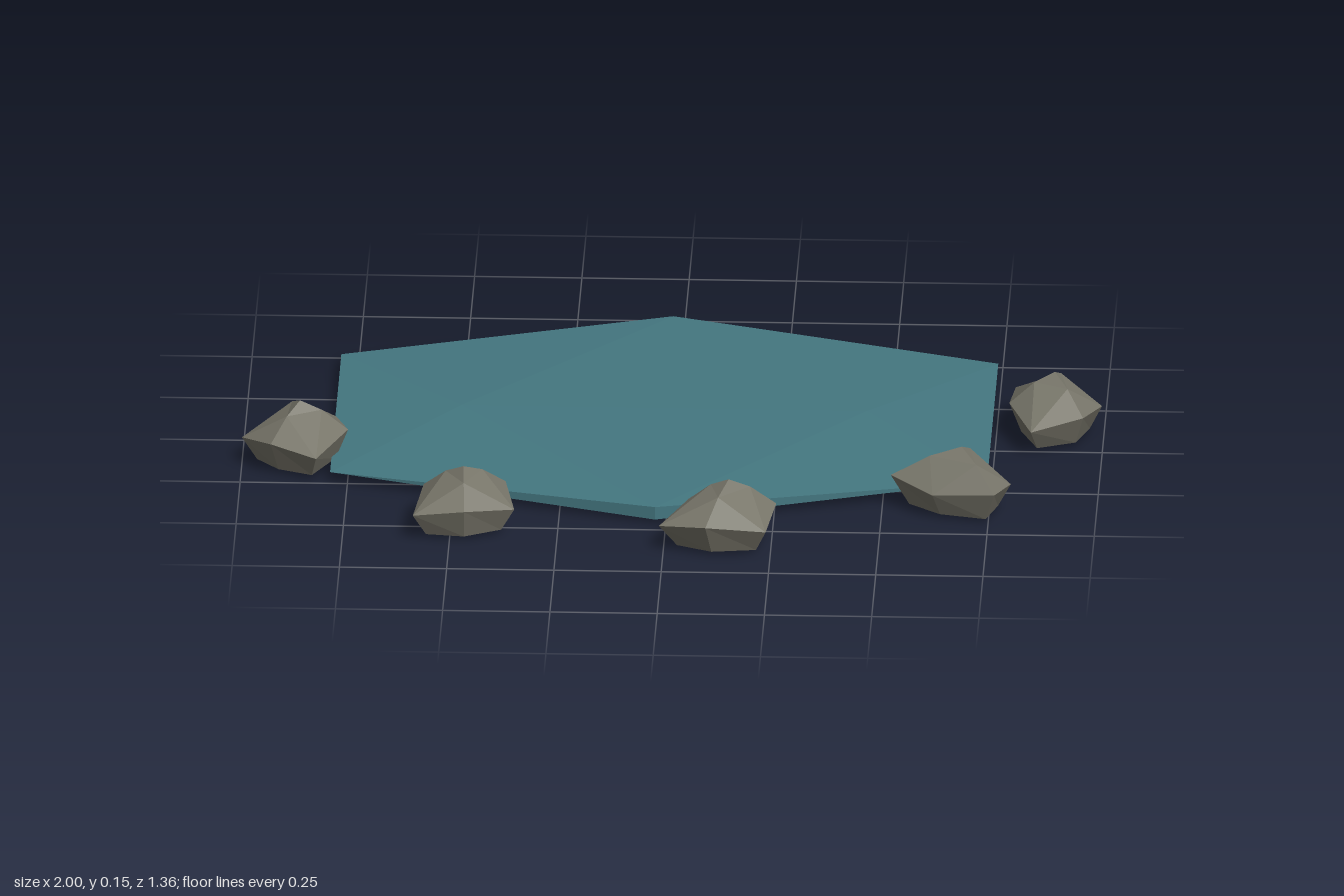
import * as THREE from 'three';

const water = new THREE.MeshStandardMaterial({ color: 0x447780, flatShading: true });
water.name = 'pond teal';
const rock = new THREE.MeshStandardMaterial({ color: 0x78766a, flatShading: true });
rock.name = 'stone grey';

// Each stone: peak [x, z], then its widest outline as offsets [x, z] from the peak, clockwise from above
const STONES = [
  { peak: [0.885, -0.115], rim: [[-0.095, -0.115], [0.03, -0.105], [0.11, -0.01], [0.07, 0.105], [-0.05, 0.155], [-0.105, 0.02]] },
  { peak: [0.685, 0.34], rim: [[-0.105, -0.095], [0.04, -0.105], [0.115, 0.01], [0.08, 0.12], [-0.065, 0.085], [-0.165, 0.005]] },
  { peak: [0.15, 0.555], rim: [[0.03, -0.11], [0.11, -0.03], [0.09, 0.105], [-0.05, 0.125], [-0.16, 0.075], [-0.095, -0.05]] },
  { peak: [-0.47, 0.5], rim: [[0, -0.15], [0.095, -0.085], [0.12, 0.045], [0.005, 0.105], [-0.115, 0.09], [-0.095, -0.06]] },
  { peak: [-0.865, 0.12], rim: [[0.08, -0.117], [0.112, 0], [0.042, 0.14], [-0.065, 0.096], [-0.135, 0.016], [-0.045, -0.107]] },
];

// Faceted stone: flat base, wide belt, three shoulder points and a peak
function stoneGeometry(rim) {
  const n = rim.length;
  const ring = (scale, height) => rim.map(([x, z], i) => [x * scale, height(i), z * scale]);
  const base = ring(0.74, () => 0.01);
  const belt = ring(1, (i) => (i % 2 ? 0.083 : 0.066));
  const shoulder = ring(0.45, () => 0.132);
  const peak = [0, 0.155, 0];
  const foot = [0, 0.01, 0];
  const pos = [];
  const tri = (...points) => points.forEach((p) => pos.push(...p));
  for (let i = 0; i < n; i++) {
    const j = (i + 1) % n;
    tri(foot, base[i], base[j]);
    tri(base[i], belt[i], belt[j]);
    tri(base[i], belt[j], base[j]);
    // shoulders sit above every second belt corner
    const s = i % 2 ? i : j;
    tri(belt[i], shoulder[s], belt[j]);
    if (i % 2) {
      const next = (i + 2) % n;
      tri(belt[j], shoulder[i], shoulder[next]);
      tri(peak, shoulder[next], shoulder[i]);
    }
  }
  const geometry = new THREE.BufferGeometry();
  geometry.setAttribute('position', new THREE.Float32BufferAttribute(pos, 3));
  geometry.computeVertexNormals();
  return geometry;
}

export function createModel() {
  const group = new THREE.Group();
  group.name = 'pond';

  // Water: a flattened icosahedron, hexagonal from above
  const waterGeometry = new THREE.IcosahedronGeometry(1, 0);
  waterGeometry.scale(0.9, 0.03, 0.672);
  const pool = new THREE.Mesh(waterGeometry, water);
  pool.name = 'water';
  pool.position.set(-0.025, 0.0265, -0.11);
  group.add(pool);

  // Stones along the front edge
  STONES.forEach(({ peak, rim }, i) => {
    const stone = new THREE.Mesh(stoneGeometry(rim), rock);
    stone.name = `stone${i + 1}`;
    stone.position.set(peak[0], 0, peak[1]);
    group.add(stone);
  });
  return group;
}
